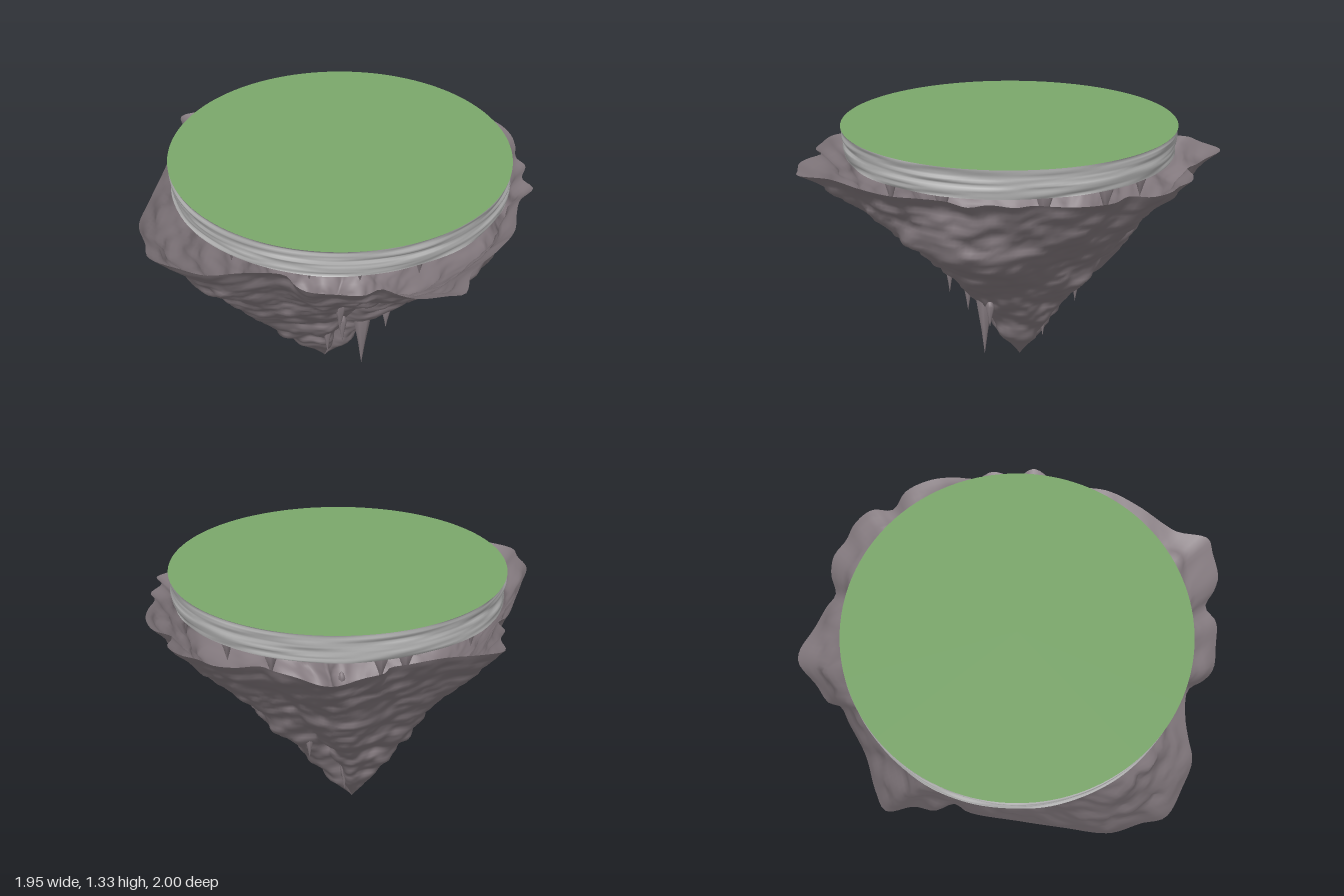
import * as THREE from 'three';

const RIM_Y = 1.185, TOP_Y = 1.332, APEX_X = -0.07;

// Rim outline seen from above, as x, z pairs
const RIM = [
  0.97, -0.18, 0.93, -0.05, 0.94, 0.08, 0.96, 0.22, 0.92, 0.4, 0.86, 0.55, 0.84, 0.62, 0.85, 0.78,
  0.78, 0.82, 0.66, 0.88, 0.58, 0.88, 0.48, 0.86, 0.42, 0.93, 0.3, 0.96, 0.17, 0.98, 0.1, 0.95,
  0.03, 0.89, -0.1, 0.91, -0.2, 0.95, -0.31, 1.0, -0.45, 0.99, -0.62, 0.95, -0.68, 0.85, -0.77, 0.72,
  -0.81, 0.5, -0.84, 0.3, -0.87, 0.05, -0.85, -0.02, -0.91, -0.1, -0.92, -0.2, -0.98, -0.32, -0.9, -0.4,
  -0.75, -0.5, -0.62, -0.63, -0.55, -0.7, -0.55, -0.76, -0.48, -0.85, -0.4, -0.97, -0.34, -0.99, -0.2, -0.96,
  -0.07, -0.94, 0, -0.92, 0.1, -0.98, 0.2, -1.0, 0.3, -0.97, 0.4, -0.96, 0.5, -0.9, 0.53, -0.8,
  0.65, -0.77, 0.75, -0.67, 0.8, -0.56, 0.83, -0.44, 0.89, -0.38, 0.9, -0.25,
];

// Smooth, repeatable value noise in -1..1
function hash(x, y, z) {
  const s = Math.sin(x * 127.1 + y * 311.7 + z * 74.7) * 43758.5453;
  return (s - Math.floor(s)) * 2 - 1;
}
function noise(x, y, z) {
  const c = [x, y, z].map(Math.floor);
  const [u, v, w] = [x - c[0], y - c[1], z - c[2]].map((f) => f * f * (3 - 2 * f));
  let sum = 0;
  for (let i = 0; i < 8; i++) {
    const a = i & 1, b = (i >> 1) & 1, d = i >> 2;
    sum += hash(c[0] + a, c[1] + b, c[2] + d) * (a ? u : 1 - u) * (b ? v : 1 - v) * (d ? w : 1 - w);
  }
  return sum;
}

// Closed ring surface: point(i, j) for each row (bottom to top) and column
function ringSurface(rows, cols, point) {
  const pos = [], index = [];
  for (let i = 0; i <= rows; i++) {
    for (let j = 0; j < cols; j++) {
      pos.push(...point(i, j));
      if (i === rows) continue;
      const k = (j + 1) % cols, a = i * cols;
      index.push(a + j, a + cols + j, a + k, a + k, a + cols + j, a + cols + k);
    }
  }
  const geo = new THREE.BufferGeometry();
  geo.setAttribute('position', new THREE.Float32BufferAttribute(pos, 3));
  geo.setIndex(index);
  geo.computeVertexNormals();
  return geo;
}

// Hollow inverted rock cone with a shoulder, two gullies and rough strata
function rockGeometry() {
  const rows = 64, cols = 220, blur = 7;
  const pts = [];
  for (let i = 0; i < RIM.length; i += 2) pts.push(new THREE.Vector3(RIM[i], 0, RIM[i + 1]));
  const outline = new THREE.CatmullRomCurve3(pts, true).getSpacedPoints(cols).slice(0, cols);
  // Softer outline for the lower rock, where the rim's small bumps fade out
  const soft = outline.map((_, j) => {
    const sum = new THREE.Vector3();
    for (let k = -blur; k <= blur; k++) sum.add(outline[(j + k + cols) % cols]);
    return sum.divideScalar(2 * blur + 1);
  });
  return ringSurface(rows, cols, (i, j) => {
    const t = i / rows;
    const p = soft[j].clone().lerp(outline[j], THREE.MathUtils.smoothstep(t, 0.7, 1));
    const dx = p.x - APEX_X, dz = p.z, angle = Math.atan2(dz, dx);
    const fade = Math.min(1, (1 - t) * 13) * Math.min(1, t * 5);
    const gully = (at, width, depth) =>
      depth * Math.sin(Math.PI * t) * Math.exp(-Math.abs(angle - at) / width);
    let f = t - gully(0.78, 0.27, 0.2) - gully(-1.45, 0.25, 0.09);
    f += 0.18 * Math.exp(-(((t - 0.7) / 0.16) ** 2) - ((angle + 0.05) / 0.4) ** 2) * fade;
    const x = dx * t, z = dz * t, y = t * RIM_Y;
    f += fade * (0.035 * noise(x * 4 + 9, y * 7, z * 4)
      + 0.024 * noise(x * 9, y * 16 + 5, z * 9) + 0.012 * noise(x * 20, y * 32, z * 20 + 3));
    f = Math.max(f, 0);
    return [APEX_X + dx * f, y, dz * f];
  });
}

// Layered edge of the round slab
function slabGeometry() {
  const rows = 16, cols = 128;
  return ringSurface(rows, cols, (i, j) => {
    const t = i / rows, a = (j / cols) * Math.PI * 2;
    const c = Math.cos(a), s = Math.sin(a);
    const wobble = 0.008 * noise(c * 1.5 + 4, t * 7, s * 1.5) + 0.006 * noise(c * 4, t * 14, s * 4 + 7);
    const r = i === rows ? 0.858 : 0.843 + 0.01 * t + wobble;
    return [0.022 + c * r, RIM_Y + t * (TOP_Y - RIM_Y), 0.02 + s * r];
  });
}

export function createModel() {
  const rock = new THREE.MeshStandardMaterial({ color: 0x857b80, side: THREE.DoubleSide });
  rock.name = 'rock';
  const stone = new THREE.MeshStandardMaterial({ color: 0xb8b8b8, side: THREE.DoubleSide });
  stone.name = 'stone';
  const grass = new THREE.MeshStandardMaterial({ color: 0x7ba76b });
  grass.name = 'grass';

  const model = new THREE.Group();
  model.name = 'floatingIsland';
  const add = (parent, geo, mat, name) => {
    const mesh = new THREE.Mesh(geo, mat);
    mesh.name = name;
    parent.add(mesh);
    return mesh;
  };

  add(model, rockGeometry(), rock, 'rockBody');
  add(model, slabGeometry(), stone, 'slabEdge');
  add(model, new THREE.CircleGeometry(0.858, 128).rotateX(-Math.PI / 2), grass, 'grassTop')
    .position.set(0.022, TOP_Y, 0.02);

  // Hanging spikes: x, z, tip height, top height, radius
  const spikes = new THREE.Group();
  spikes.name = 'stalactites';
  model.add(spikes);
  const spike = (x, z, tip, top, r) => {
    const h = top - tip;
    const profile = [[0, 0], [r * 0.4, h * 0.35], [r, h * 0.78], [r * 0.5, h * 0.92], [0, h]]
      .map(([a, b]) => new THREE.Vector2(a, b));
    add(spikes, new THREE.LatheGeometry(profile, 7), rock, 'stalactite').position.set(x, tip, z);
  };
  [
    [0.17, 0.1, 0.08, 0.48, 0.048], [0.03, 0.26, 0.25, 0.46, 0.03], [0.13, 0.32, 0.38, 0.57, 0.025],
    [0.18, 0.52, 0.64, 0.85, 0.04], [0.28, 0.02, 0.29, 0.44, 0.025], [-0.08, -0.13, 0.12, 0.3, 0.025],
    [0.02, -0.35, 0.4, 0.55, 0.025],
  ].forEach((s) => spike(...s));

  // Small spikes under the slab, inside the rim
  for (let i = 0; i < 12; i++) {
    const a = ((i + 0.4 * hash(i, 1, 2)) / 12) * Math.PI * 2;
    spike(Math.cos(a) * 0.7, Math.sin(a) * 0.7, 1.01 + 0.03 * hash(i, 3, 4), RIM_Y + 0.01, 0.045);
  }
  return model;
}
